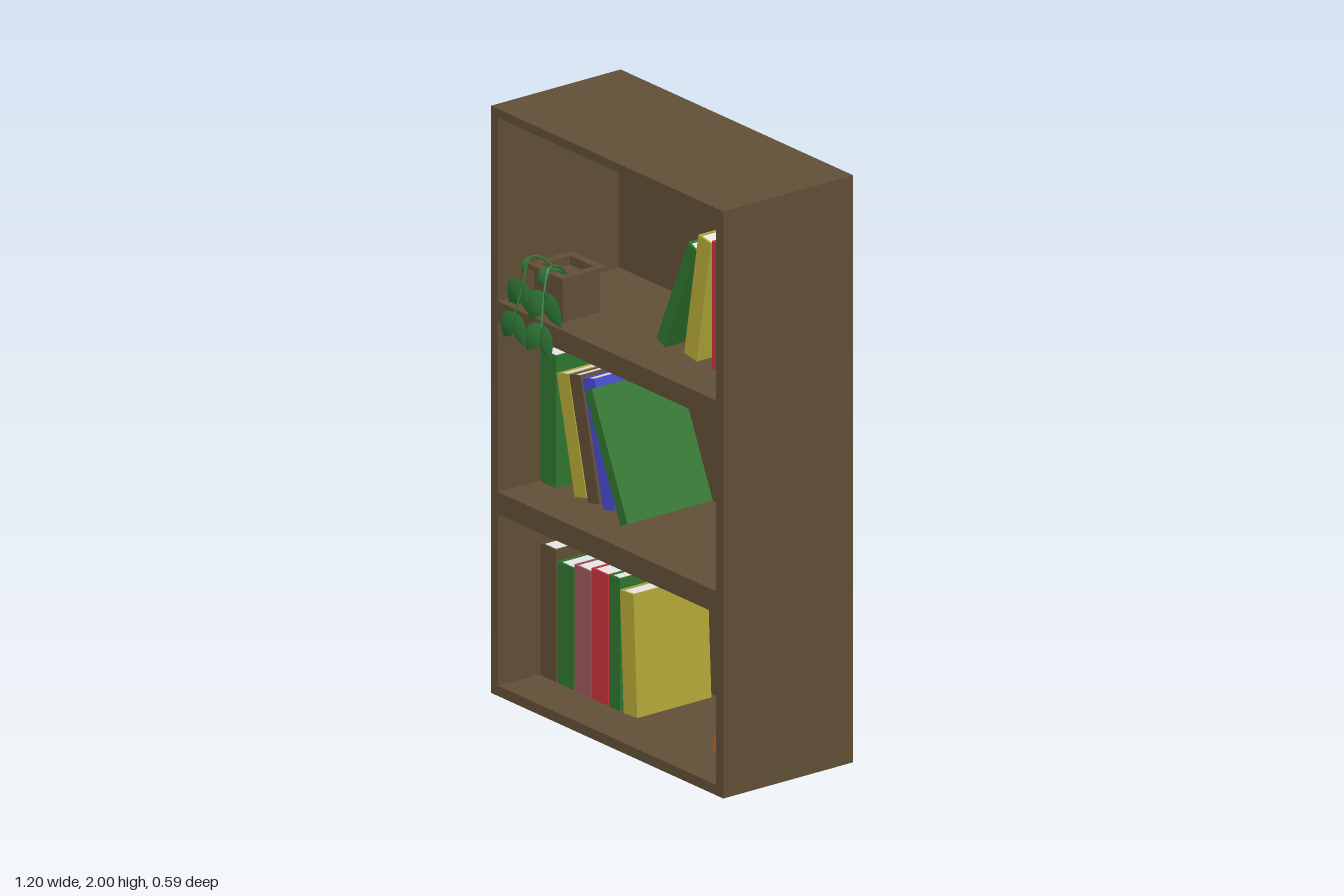
import * as THREE from 'three';

const mat = (name, color, side = THREE.FrontSide) => {
  const m = new THREE.MeshStandardMaterial({ color, side });
  m.name = name;
  return m;
};

export function createModel() {
  const M = {
    wood: mat('brown wood', 0x614f37),
    green: mat('green', 0x30762f),
    yellow: mat('yellow', 0xb5a938),
    red: mat('red', 0xc9343d),
    pink: mat('dusty pink', 0x9d575a),
    blue: mat('blue', 0x484ccc),
    orange: mat('orange', 0xc96521),
    pages: mat('white pages', 0xe6e6e6),
    leaf: mat('leaf green', 0x2f7836, THREE.DoubleSide),
  };
  const root = new THREE.Group();
  root.name = 'bookshelf';

  const add = (parent, name, geo, material, x = 0, y = 0, z = 0) => {
    const mesh = new THREE.Mesh(geo, material);
    mesh.name = name;
    mesh.position.set(x, y, z);
    parent.add(mesh);
    return mesh;
  };
  const box = (parent, name, w, h, d, material, x, y, z) =>
    add(parent, name, new THREE.BoxGeometry(w, h, d), material, x, y, z);
  const rect = (P, x0, y0, x1, y1) => {
    const p = new P();
    p.moveTo(x0, y0).lineTo(x1, y0).lineTo(x1, y1).lineTo(x0, y1).closePath();
    return p;
  };

  // Carcass: outer frame with three open bays, closed by a back panel
  const frame = rect(THREE.Shape, -0.6, 0, 0.6, 2);
  for (const [y0, y1] of [[0.035, 0.62], [0.695, 1.275], [1.345, 1.97]])
    frame.holes.push(rect(THREE.Path, -0.563, y0, 0.563, y1));
  add(root, 'shelfFrame', new THREE.ExtrudeGeometry(frame, { depth: 0.49, bevelEnabled: false }),
    M.wood, 0, 0, -0.26);
  box(root, 'backPanel', 1.2, 2, 0.035, M.wood, 0, 1, -0.2775);

  // Book: spine and two boards around a page block, pivoting on its resting corner.
  // x is the resting corner (left edge unless it leans right); lean is in degrees, right positive.
  const BACK = -0.235;
  function book(parent, [color, x, w, h, lean = 0, front = 0.065], y) {
    const g = new THREE.Group();
    g.name = color + 'Book';
    const d = front - BACK, t = 0.007, side = lean > 0 ? -1 : 1;
    const cx = side * w / 2, zc = (front + BACK) / 2;
    box(g, 'spine', w, h, t, M[color], cx, h / 2, front - t / 2);
    for (const s of [-1, 1])
      box(g, 'coverBoard', t, h, d - t, M[color], cx + s * (w - t) / 2, h / 2, zc - t / 2);
    box(g, 'pageBlock', w - 2 * t, h - 0.008, d - t - 0.006, M.pages, cx, h / 2, zc - t / 2 + 0.003);
    g.position.set(x, y, 0);
    g.rotation.z = -THREE.MathUtils.degToRad(lean);
    parent.add(g);
  }
  const rows = [
    ['bottomBooks', 0.035, [
      ['wood', -0.555, 0.08, 0.45], ['green', -0.465, 0.08, 0.415], ['pink', -0.38, 0.085, 0.43],
      ['red', -0.29, 0.085, 0.445], ['green', -0.2, 0.055, 0.45], ['yellow', -0.125, 0.07, 0.415, -2.7],
      ['orange', 0.378, 0.048, 0.37, 16], ['wood', 0.495, 0.06, 0.43]]],
    ['middleBooks', 0.695, [
      ['green', -0.555, 0.08, 0.45], ['yellow', -0.378, 0.063, 0.405, -13.4],
      ['wood', -0.308, 0.06, 0.42, -13.6], ['blue', -0.23, 0.064, 0.43, -14.5],
      ['green', -0.084, 0.04, 0.445, -24.5, 0.11]]],
    ['topBooks', 1.345, [
      ['green', 0.088, 0.047, 0.41, 23.5], ['yellow', 0.252, 0.066, 0.43, 9.8],
      ['red', 0.33, 0.07, 0.435], ['wood', 0.402, 0.068, 0.425], ['orange', 0.475, 0.08, 0.455]]],
  ];
  for (const [name, y, books] of rows) {
    const g = new THREE.Group();
    g.name = name;
    for (const b of books) book(g, b, y);
    root.add(g);
  }

  // Square planter: hollow body, wider rim and soil
  const plant = new THREE.Group();
  plant.name = 'hangingPlant';
  root.add(plant);
  const ring = (name, outer, inner, y, h) => {
    const s = rect(THREE.Shape, -outer, -outer, outer, outer);
    s.holes.push(rect(THREE.Path, -inner, -inner, inner, inner));
    const geo = new THREE.ExtrudeGeometry(s, { depth: h, bevelEnabled: false }).rotateX(-Math.PI / 2);
    add(plant, name, geo, M.wood, -0.36, y, 0.11);
  };
  ring('potBody', 0.075, 0.06, 1.345, 0.14);
  ring('potRim', 0.09, 0.06, 1.485, 0.016);
  box(plant, 'soil', 0.12, 0.12, 0.12, M.wood, -0.36, 1.41, 0.11);

  // Stems arching out of the pot and hanging over the shelf edge
  const stems = [
    [[-0.39, 1.46, 0.11], [-0.42, 1.525, 0.17], [-0.425, 1.53, 0.215], [-0.412, 1.46, 0.245], [-0.42, 1.35, 0.277]],
    [[-0.34, 1.46, 0.11], [-0.325, 1.52, 0.17], [-0.318, 1.53, 0.215], [-0.305, 1.46, 0.245], [-0.285, 1.35, 0.272]],
    [[-0.36, 1.46, 0.11], [-0.34, 1.5, 0.16], [-0.345, 1.51, 0.19]],
  ];
  for (const pts of stems) {
    const curve = new THREE.CatmullRomCurve3(pts.map(p => new THREE.Vector3(...p)));
    add(plant, 'stem', new THREE.TubeGeometry(curve, 16, 0.004, 6), M.leaf);
  }

  // Leaf: pointed oval, folded along its midrib, running from base to tip
  function leaf(base, tip, width) {
    const a = new THREE.Vector3(...base), b = new THREE.Vector3(...tip);
    const length = a.distanceTo(b);
    const geo = new THREE.PlaneGeometry(1, 1, 2, 8);
    const p = geo.attributes.position;
    for (let i = 0; i < p.count; i++) {
      const t = 0.5 - p.getY(i);
      const x = p.getX(i) * width * Math.sin(Math.PI * Math.pow(t, 0.85));
      p.setXYZ(i, x, -t * length, -Math.abs(x) * 0.22 + 0.012 * Math.sin(Math.PI * t));
    }
    geo.computeVertexNormals();
    const up = a.clone().sub(b).normalize();
    const right = up.clone().cross(new THREE.Vector3(0, 0, 1)).normalize();
    const m = add(plant, 'leaf', geo, M.leaf, ...base);
    m.quaternion.setFromRotationMatrix(new THREE.Matrix4().makeBasis(right, up, right.clone().cross(up)));
  }
  const leaves = [
    [[-0.412, 1.46, 0.25], [-0.5, 1.365, 0.236], 0.085],
    [[-0.408, 1.46, 0.25], [-0.35, 1.355, 0.25], 0.075],
    [[-0.305, 1.46, 0.25], [-0.37, 1.355, 0.258], 0.085],
    [[-0.3, 1.46, 0.25], [-0.205, 1.365, 0.25], 0.085],
    [[-0.425, 1.36, 0.275], [-0.492, 1.255, 0.265], 0.075],
    [[-0.415, 1.36, 0.275], [-0.352, 1.265, 0.285], 0.075],
    [[-0.288, 1.36, 0.27], [-0.352, 1.255, 0.28], 0.078],
    [[-0.28, 1.36, 0.27], [-0.215, 1.255, 0.288], 0.078],
    [[-0.315, 1.53, 0.215], [-0.36, 1.46, 0.228], 0.045],
    [[-0.425, 1.535, 0.21], [-0.44, 1.475, 0.226], 0.03],
  ];
  for (const l of leaves) leaf(...l);

  return root;
}
